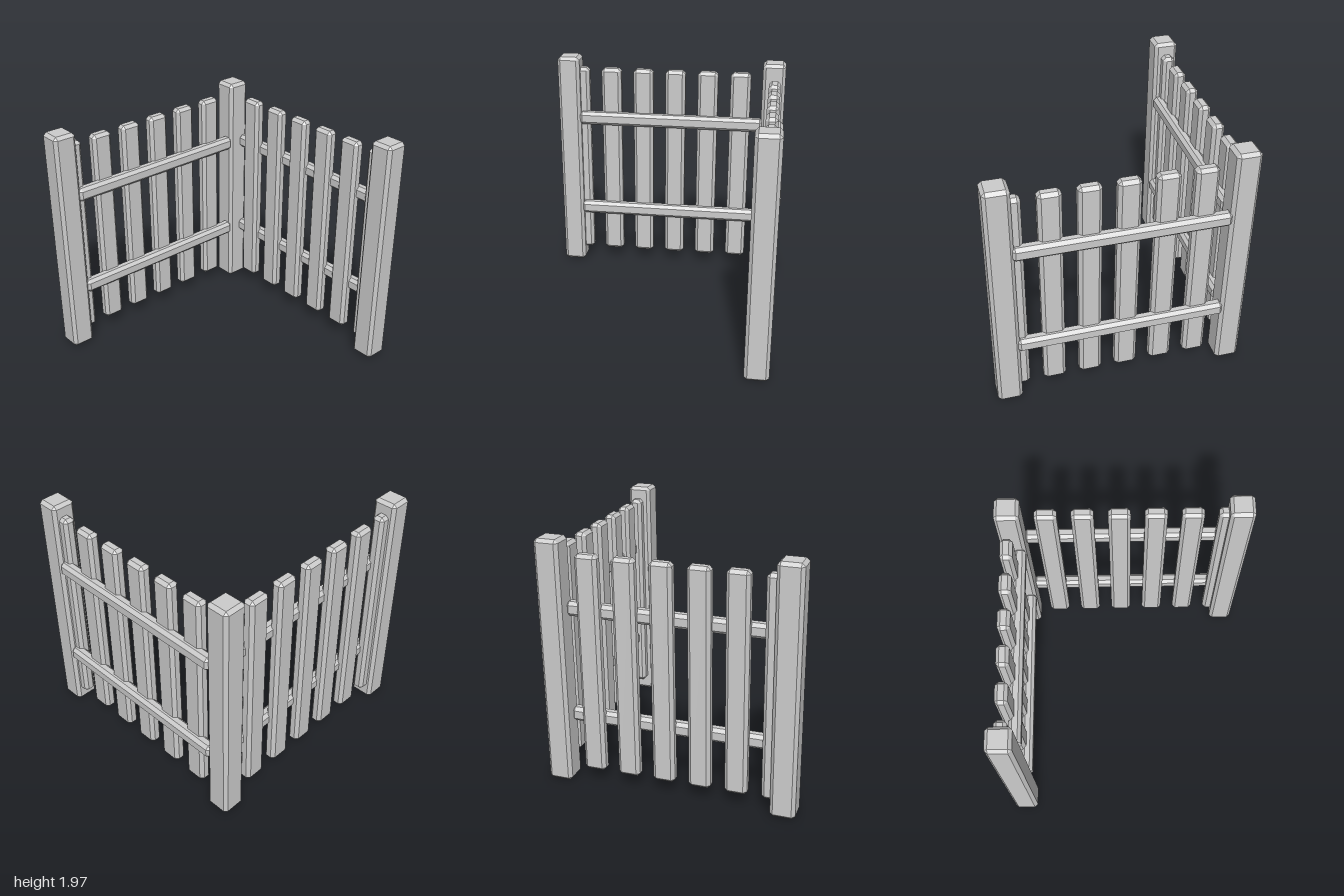
import * as THREE from 'three';
import { ConvexGeometry } from 'three/addons/geometries/ConvexGeometry.js';

const material = new THREE.MeshStandardMaterial({ color: 0xcccccc, flatShading: true });

// Box with every edge cut by a flat chamfer c
function chamferBox(w, h, d, c = 0.026) {
  const points = [];
  for (const sx of [-1, 1]) for (const sy of [-1, 1]) for (const sz of [-1, 1]) {
    const [x, y, z] = [w / 2, h / 2, d / 2];
    points.push(
      new THREE.Vector3(sx * x, sy * (y - c), sz * (z - c)),
      new THREE.Vector3(sx * (x - c), sy * y, sz * (z - c)),
      new THREE.Vector3(sx * (x - c), sy * (y - c), sz * z)
    );
  }
  return new ConvexGeometry(points);
}

function addPart(parent, name, geometry, x, y, z) {
  const mesh = new THREE.Mesh(geometry, material);
  mesh.name = name;
  mesh.position.set(x, y, z);
  parent.add(mesh);
}

// Fence section running along x: two rails and six evenly spaced pickets
function fencePanel(name, railZ, picketZ) {
  const panel = new THREE.Group();
  panel.name = name;
  const rail = chamferBox(1.635, 0.115, 0.095);
  for (const y of [0.545, 1.417]) addPart(panel, 'rail', rail, 0, y, railZ);
  const picket = chamferBox(0.175, 1.755, 0.098);
  for (let i = 0; i < 6; i++) {
    addPart(panel, 'picket', picket, -0.613 + i * 0.2857, 0.99, picketZ);
  }
  return panel;
}

export function createModel() {
  const model = new THREE.Group();
  model.name = 'cornerFence';

  // Corner post and the two end posts
  const post = chamferBox(0.194, 1.97, 0.194);
  addPart(model, 'cornerPost', post, -0.897, 0.985, -0.898);
  addPart(model, 'backEndPost', post, 0.897, 0.985, -0.898);
  addPart(model, 'frontEndPost', post, -0.897, 0.985, 0.902);

  // Back section, rails on the outside
  model.add(fencePanel('backPanel', -0.953, -0.908));

  // Side section turned along z, rails on the inside
  const side = fencePanel('sidePanel', 0.846, 0.902);
  side.rotation.y = -Math.PI / 2;
  model.add(side);

  return model;
}
